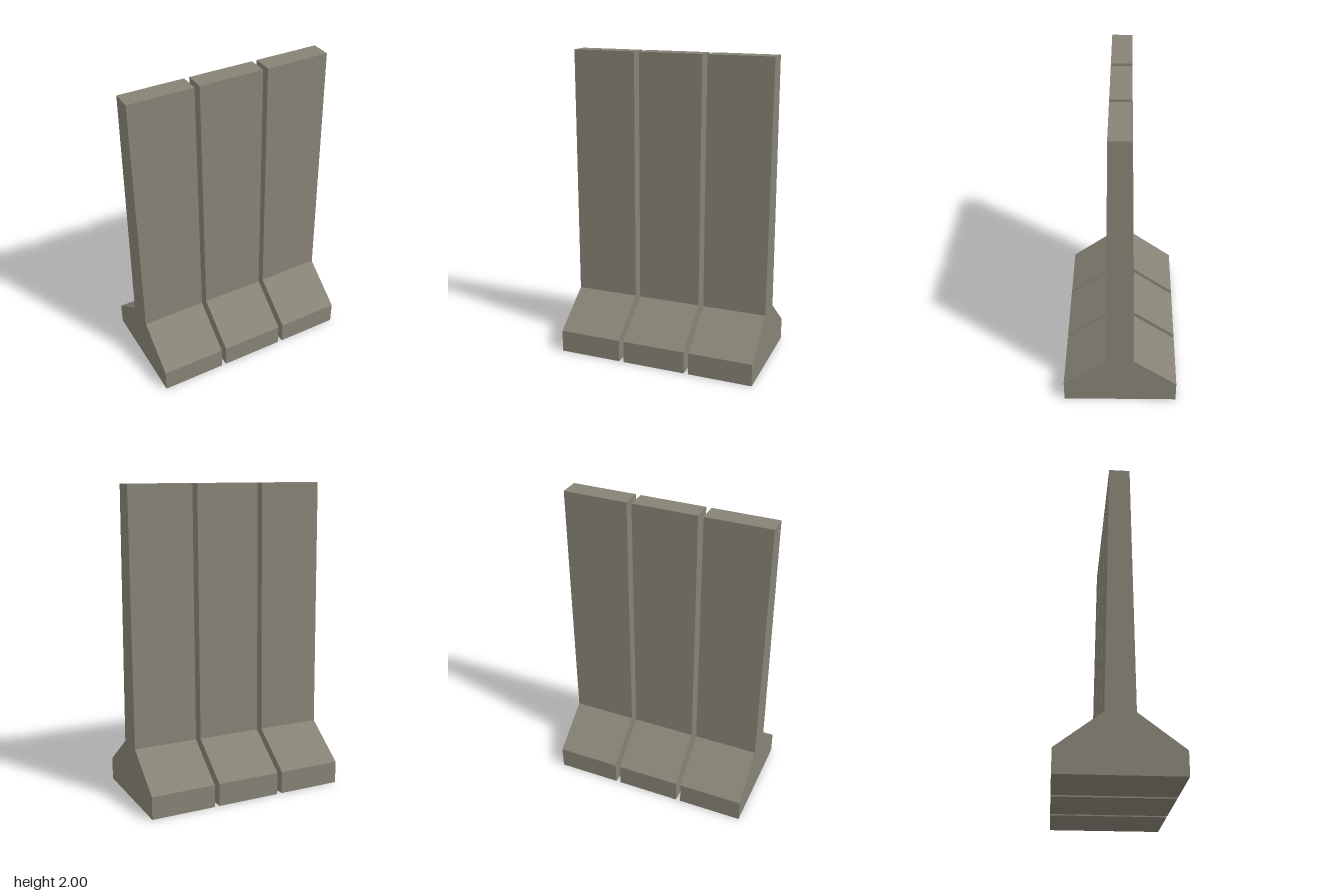
import * as THREE from 'three';

export function createModel() {
  const model = new THREE.Group();
  model.name = 'barrierWall';
  const concrete = new THREE.MeshStandardMaterial({ color: 0x868275 });
  concrete.name = 'concrete';

  // Half cross-section (z, y): broad foot, sloped shoulder, tapering wall
  const half = [[0.37, 0], [0.37, 0.147], [0.09, 0.36], [0.065, 2]];
  const outline = [...half, ...half.map(([z, y]) => [-z, y]).reverse()];
  const profile = new THREE.Shape(outline.map(([z, y]) => new THREE.Vector2(z, y)));

  // One slab, extruded along x
  const width = 0.422;
  const slab = new THREE.ExtrudeGeometry(profile, { depth: width, bevelEnabled: false });
  slab.translate(0, 0, -width / 2);
  slab.rotateY(Math.PI / 2);

  // Three slabs side by side with narrow gaps
  ['rightSlab', 'middleSlab', 'leftSlab'].forEach((name, i) => {
    const mesh = new THREE.Mesh(slab, concrete);
    mesh.name = name;
    mesh.position.x = (i - 1) * 0.455;
    model.add(mesh);
  });
  return model;
}
